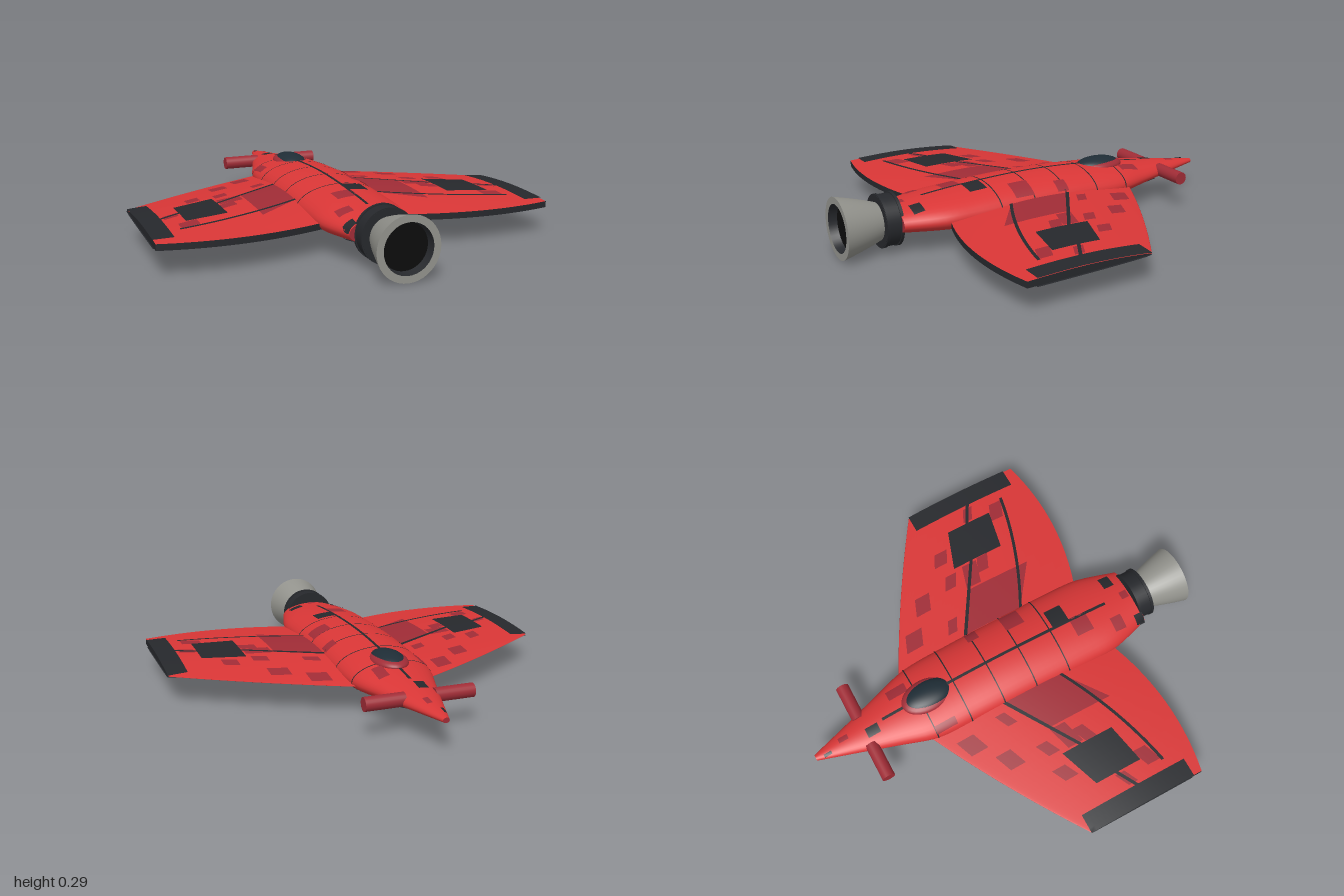
import * as THREE from 'three';
import { ParametricGeometry } from 'three/addons/geometries/ParametricGeometry.js';

const paint = (color, side = THREE.FrontSide) => new THREE.MeshStandardMaterial({ color, side });
const red = paint(0xd93636);
const darkRed = paint(0xa02c36, THREE.DoubleSide);
const black = paint(0x26282c, THREE.DoubleSide);
const steel = paint(0x92928c);
const glass = paint(0x1f2d36);
const CY = 0.155; // height of the fuselage axis

// Smooth curve through a few [z, value] stations
function stations(list) {
  const c = new THREE.CubicInterpolant(list.map((p) => p[0]), list.map((p) => p[1]), 1);
  return (t) => c.evaluate(t)[0];
}
const halfWidth = stations([[-1, 0.015], [-0.8, 0.078], [-0.6, 0.143], [-0.45, 0.19], [-0.2, 0.206], [0.1, 0.212], [0.4, 0.212], [0.54, 0.205], [0.74, 0.15]]);
const upper = stations([[-1, 0.012], [-0.8, 0.038], [-0.4, 0.085], [0, 0.108], [0.4, 0.095], [0.74, 0.065]]);
const lower = stations([[-1, 0.012], [-0.8, 0.033], [-0.4, 0.074], [0, 0.091], [0.4, 0.083], [0.74, 0.058]]);

const bodyY = (x, z, s) =>
  CY + s * (s > 0 ? upper(z) : lower(z)) * Math.sqrt(Math.max(0, 1 - (x / halfWidth(z)) ** 2));
function bodyPoint(a, z, grow, target) {
  const y = Math.sin(a);
  return target.set(grow * halfWidth(z) * Math.cos(a), CY + grow * y * (y > 0 ? upper(z) : lower(z)), z);
}

// Wing plan: leading and trailing edges as parabolas through three points
const parabola = (a, b, c) => (x) =>
  a[1] * (x - b[0]) * (x - c[0]) / ((a[0] - b[0]) * (a[0] - c[0])) +
  b[1] * (x - a[0]) * (x - c[0]) / ((b[0] - a[0]) * (b[0] - c[0])) +
  c[1] * (x - a[0]) * (x - b[0]) / ((c[0] - a[0]) * (c[0] - b[0]));
const leading = parabola([0.2, -0.46], [0.56, -0.265], [0.935, -0.03]);
const trailing = parabola([0.2, 0.535], [0.6, 0.61], [0.935, 0.575]);
const ROOT = 0.1, TIP = 0.935;

function wingY(x, z, s) {
  x = Math.abs(x);
  const u = THREE.MathUtils.clamp((z - leading(x)) / (trailing(x) - leading(x)), 0, 1);
  const camber = THREE.MathUtils.lerp(0.042, 0.012, (x - ROOT) / (TIP - ROOT));
  return s > 0 ? 0.145 + 0.01 * Math.sqrt(u) + camber * Math.sin(Math.PI * u) : 0.145 - 0.019 * Math.sqrt(u);
}

function surface(parent, name, material, fn, nu, nv) {
  const mesh = new THREE.Mesh(new ParametricGeometry(fn, nu, nv), material);
  mesh.name = name;
  parent.add(mesh);
  return mesh;
}

// Painted marking laid over a surface; plan(u, v) gives [x, z]
function marking(parent, name, material, plan, height, s, lift = 0.003, nu = 6, nv = 6) {
  surface(parent, name, material, (u, v, t) => {
    const [x, z] = plan(u, v);
    t.set(x, height(x, z, s) + s * lift, z);
  }, nu, nv);
}
const quad = (a, b, c, d, m = 1) => (u, v) => [0, 1].map((i) =>
  (i ? 1 : m) * ((a[i] * (1 - u) + b[i] * u) * (1 - v) + (d[i] * (1 - u) + c[i] * u) * v));
const rect = (x0, z0, x1, z1, m = 1) => quad([x0, z0], [x1, z0], [x1, z1], [x0, z1], m);
const skew = (x0, z0, x1, z1, m = 1) => quad([x0, z0], [x1, z0 + 0.035], [x1, z1 + 0.035], [x0, z1], m);

function createWing(m) {
  const wing = new THREE.Group();
  wing.name = m > 0 ? 'leftWing' : 'rightWing';
  const spanX = (u) => THREE.MathUtils.lerp(ROOT, TIP, u);

  // Skin runs from the trailing edge over the top and back underneath
  surface(wing, 'wingSkin', red, (u, v, t) => {
    const x = spanX(m > 0 ? u : 1 - u), k = Math.abs(1 - 2 * v);
    const z = THREE.MathUtils.lerp(leading(x), trailing(x), k * k);
    t.set(m * x, wingY(x, z, v < 0.5 ? 1 : -1), z);
  }, 20, 48);
  surface(wing, 'trailingEdge', black, (u, v, t) => {
    const x = spanX(u), z = trailing(x);
    t.set(m * x, THREE.MathUtils.lerp(wingY(x, z, -1), wingY(x, z, 1), v), z);
  }, 20, 1);
  surface(wing, 'wingTipCap', black, (u, v, t) => {
    const z = THREE.MathUtils.lerp(leading(TIP), trailing(TIP), u * u);
    t.set(m * TIP, THREE.MathUtils.lerp(wingY(TIP, z, -1), wingY(TIP, z, 1), v), z);
  }, 20, 1);

  for (const s of [1, -1]) {
    const add = (name, mat, plan, lift, nu, nv) => marking(wing, name, mat, plan, wingY, s, lift, nu, nv);
    add('tipPanel', black, rect(0.845, -0.03, 0.938, 0.53, m), 0.004, 4, 20);
    add('squarePanel', black, quad([0.55, 0.035], [0.75, 0.105], [0.75, 0.345], [0.55, 0.305], m), 0.004);
    add('rootPanel', darkRed, quad([0.2, -0.09], [0.41, 0.04], [0.41, 0.38], [0.2, 0.225], m), 0.002, 8, 10);
    // Panel lines
    add('innerLine', black, quad([0.2, -0.095], [0.56, 0.13], [0.56, 0.148], [0.2, -0.075], m), 0.004, 10, 1);
    add('outerLine', black, quad([0.74, 0.2], [0.85, 0.262], [0.85, 0.28], [0.74, 0.218], m), 0.004, 4, 1);
    add('curvedLine', black, (u, v) => {
      const x = 0.2 + 0.6 * u;
      return [m * x, 0.225 + 0.32 * u - 0.105 * u * u + 0.016 * (v - 0.5)];
    }, 0.004, 20, 1);
    // Camouflage blocks
    for (const b of [[0.26, -0.38, 0.35, -0.29], [0.24, -0.16, 0.31, -0.11], [0.41, -0.25, 0.5, -0.17], [0.46, -0.06, 0.53, 0.0],
      [0.42, 0.04, 0.54, 0.12], [0.47, 0.13, 0.55, 0.19], [0.6, -0.05, 0.67, 0.02], [0.76, 0.2, 0.83, 0.25], [0.7, 0.33, 0.79, 0.4]])
      add('camouflageBlock', darkRed, skew(...b, m), 0.002);
  }
  return wing;
}

function createFuselage() {
  const body = new THREE.Group();
  body.name = 'fuselage';
  surface(body, 'hull', red, (u, v, t) => bodyPoint(u * Math.PI * 2, -1 + 1.74 * v, 1, t), 40, 48);
  for (const z of [-1, 0.74])
    surface(body, 'hullEnd', darkRed, (u, v, t) => {
      bodyPoint(u * Math.PI * 2, z, 0.02 + 0.98 * v, t);
    }, 40, 1);
  for (const z of [-0.44, -0.26, -0.08, 0.095, 0.275])
    surface(body, 'panelRing', black, (u, v, t) => bodyPoint(u * Math.PI * 2, z + 0.006 * (v - 0.5), 1.012, t), 40, 1);

  const add = (name, mat, plan, s, lift, nv) => marking(body, name, mat, plan, bodyY, s, lift, 6, nv);
  add('spineLine', black, rect(-0.007, -0.64, 0.007, 0.59), 1, 0.003, 30);
  for (const b of [[-0.048, -0.735, 0, -0.67], [0.005, 0.295, 0.098, 0.385], [0.07, 0.63, 0.135, 0.685], [-0.16, 0.69, -0.115, 0.738], [-0.025, -0.96, -0.01, -0.92]])
    add('darkBlock', black, rect(...b), 1, 0.004);
  for (const b of [[0.065, -0.57, 0.115, -0.47], [-0.185, -0.44, -0.15, -0.33], [0.1, 0.09, 0.19, 0.19], [-0.09, 0.385, 0.005, 0.475],
    [-0.15, 0.57, -0.08, 0.63], [0.0, -0.87, 0.025, -0.82], [0.14, -0.1, 0.195, -0.04], [-0.02, 0.68, 0.02, 0.72]])
    add('camouflageBlock', darkRed, rect(...b), 1, 0.003);
  // Belly slots and patches
  for (const x of [-0.06, 0.06]) add('bellySlot', black, rect(x - 0.014, -0.18, x + 0.014, 0.48), -1, 0.006, 16);
  for (const b of [[-0.04, -0.14, 0.02, -0.05], [0.04, -0.72, 0.08, -0.66], [-0.12, 0.6, -0.05, 0.67]])
    add('bellyPatch', black, rect(...b), -1, 0.005);
  return body;
}

function createEngine() {
  const engine = new THREE.Group();
  engine.name = 'engine';
  engine.position.y = 0.15;
  const put = (name, geometry, material, z, turn) => {
    const mesh = new THREE.Mesh(geometry, material);
    mesh.name = name;
    mesh.position.z = z;
    if (turn) mesh.rotation.x = Math.PI / 2;
    engine.add(mesh);
  };
  const bell = (pts) => new THREE.LatheGeometry(
    new THREE.SplineCurve(pts.map((p) => new THREE.Vector2(...p))).getPoints(16), 40);
  put('collar', new THREE.CylinderGeometry(0.121, 0.121, 0.08, 40), black, 0.77, true);
  for (const z of [0.735, 0.802]) put('collarBand', new THREE.CylinderGeometry(0.126, 0.126, 0.014, 40), black, z, true);
  put('nozzle', bell([[0.085, 0.8], [0.106, 0.86], [0.127, 0.93], [0.145, 1]]), steel, 0, true);
  put('nozzleRim', new THREE.RingGeometry(0.113, 0.145, 40), steel, 1);
  put('nozzleLining', bell([[0.09, 0.9], [0.105, 0.96], [0.113, 1]]), black, 0, true);
  put('nozzleThroat', new THREE.CircleGeometry(0.105, 40), paint(0x0c0c0c), 0.96);
  return engine;
}

export function createModel() {
  const craft = new THREE.Group();
  craft.name = 'spacecraft';
  craft.add(createFuselage(), createWing(1), createWing(-1), createEngine());

  // Round pods beside the nose
  for (const m of [1, -1]) {
    const pod = new THREE.Mesh(new THREE.CylinderGeometry(0.032, 0.032, 0.185, 24), darkRed);
    pod.name = m > 0 ? 'leftNosePod' : 'rightNosePod';
    pod.rotation.z = Math.PI / 2;
    pod.position.set(m * 0.1625, 0.165, -0.737);
    craft.add(pod);
  }

  // Canopy with its frame
  for (const [name, mat, w, h, l, y, z] of [
    ['canopyFrame', darkRed, 0.083, 0.034, 0.128, 0.229, -0.402],
    ['canopy', glass, 0.074, 0.042, 0.125, 0.229, -0.395]]) {
    const dome = new THREE.Mesh(new THREE.SphereGeometry(1, 32, 20), mat);
    dome.name = name;
    dome.scale.set(w, h, l);
    dome.position.set(0, y, z);
    craft.add(dome);
  }
  return craft;
}
